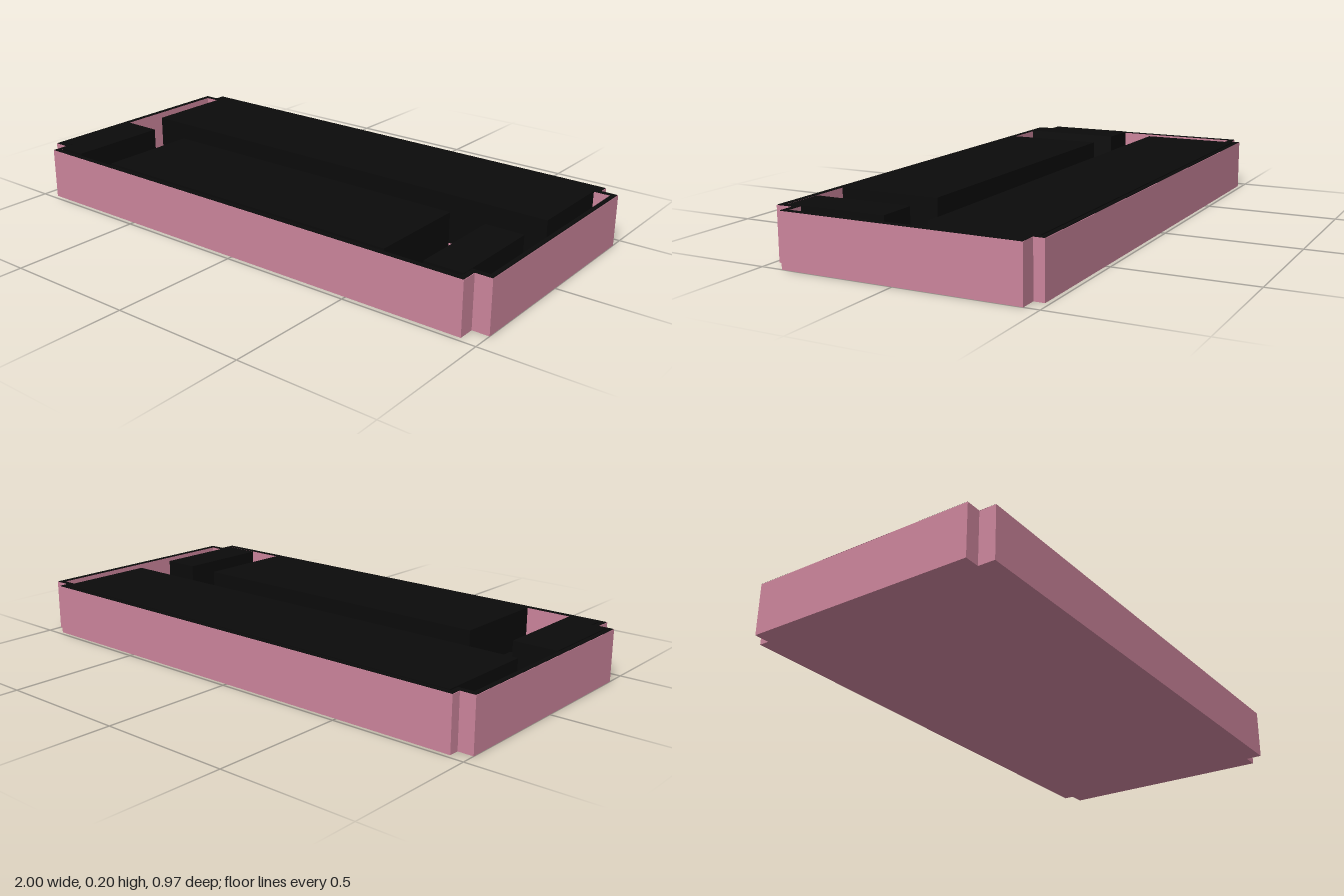
import * as THREE from 'three';

const pink = new THREE.MeshStandardMaterial({ color: 0xcb849b });
const black = new THREE.MeshStandardMaterial({ color: 0x0b0b0b });

const WALL = 0.02, RIM_Y = 0.192;

// Notched-corner outline of the tray, moved inwards by d (shape y = -z)
function outline(d) {
  const xl = -0.943 + d, xr = 0.937 - d, zb = 0.484 - d, zf = -0.482 + d;
  const el = -1 + d, er = 1 - d, eb = 0.446 - d, ef = -0.42 + d;
  return [
    [xl, zf], [xr, zf], [xr, ef], [er, ef], [er, eb], [xr, eb],
    [xr, zb], [xl, zb], [xl, eb], [el, eb], [el, ef], [xl, ef],
  ].map(([x, y]) => new THREE.Vector2(x, y));
}

// Extrudes a plan shape upwards from y0 to y1
function slab(name, points, y0, y1, material, hole) {
  const shape = new THREE.Shape(points);
  if (hole) shape.holes.push(new THREE.Path(hole));
  const geometry = new THREE.ExtrudeGeometry(shape, { depth: y1 - y0, bevelEnabled: false });
  geometry.rotateX(-Math.PI / 2).translate(0, y0, 0);
  const mesh = new THREE.Mesh(geometry, material);
  mesh.name = name;
  return mesh;
}

// Box given by its plan limits and height range
function block(name, x0, x1, z0, z1, y0, y1) {
  const mesh = new THREE.Mesh(new THREE.BoxGeometry(x1 - x0, y1 - y0, z1 - z0), black);
  mesh.position.set((x0 + x1) / 2, (y0 + y1) / 2, (z0 + z1) / 2);
  mesh.name = name;
  return mesh;
}

export function createModel() {
  const model = new THREE.Group();
  model.name = 'notchedTray';

  // Tray: floor, walls and dark top edge
  const floorTop = 0.01;
  model.add(
    slab('floor', outline(0), 0, floorTop, pink),
    slab('walls', outline(0), floorTop, RIM_Y, pink, outline(WALL)),
    slab('rim', outline(0.002), RIM_Y, RIM_Y + 0.002, black, outline(WALL)),
  );

  // Large inserts
  model.add(
    block('backBlock', -0.917, 0.917, -0.459, -0.078, floorTop, 0.195),
    block('frontBlock', -0.638, 0.628, 0.068, 0.452, floorTop, 0.197),
    block('leftEndBlock', 0.772, 0.917, 0.08, 0.448, floorTop, 0.196),
  );

  // Right end insert steps around the corner notch
  const stepped = [[-0.923, -0.452], [-0.813, -0.452], [-0.813, -0.062],
    [-0.98, -0.062], [-0.98, -0.4], [-0.923, -0.4]];
  model.add(slab('rightEndBlock', stepped.map(([x, y]) => new THREE.Vector2(x, y)), floorTop, 0.198, black));

  // Low pairs of small blocks beside the front insert
  for (const [side, x0, x1, z0] of [['right', -0.798, -0.652, 0.202], ['left', 0.638, 0.763, 0.188]]) {
    const pair = new THREE.Group();
    pair.name = side + 'SmallBlocks';
    const mid = (x0 + x1) / 2;
    pair.add(
      block('smallBlockOuter', x0, mid - 0.001, z0, z0 + 0.12, floorTop, 0.06),
      block('smallBlockInner', mid + 0.001, x1, z0, z0 + 0.12, floorTop, 0.06),
    );
    model.add(pair);
  }
  return model;
}
